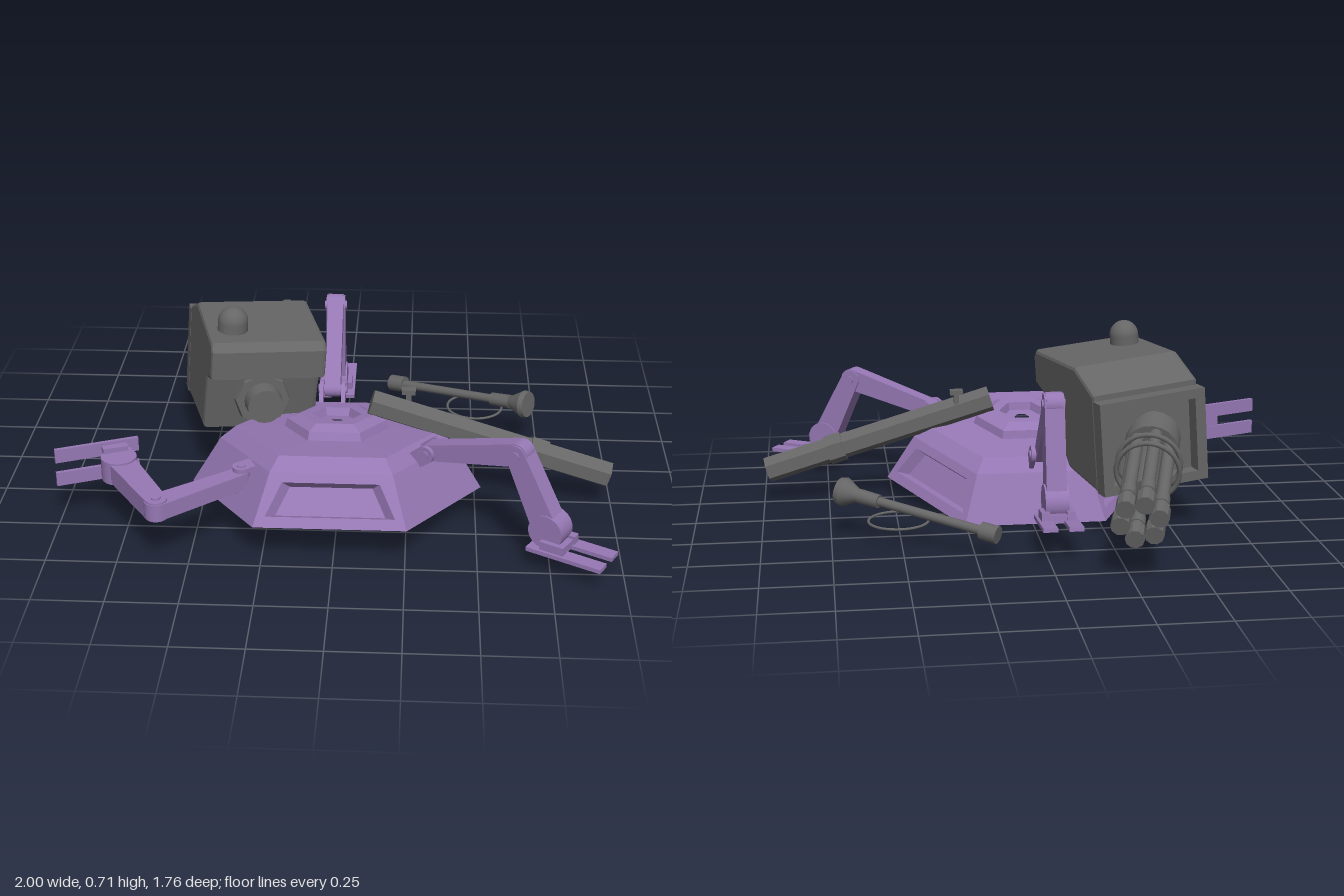
import * as THREE from 'three';

const purple = new THREE.MeshStandardMaterial({ color: 0x9678b4 });
const grey = new THREE.MeshStandardMaterial({ color: 0x666666 });
const purpleFlat = new THREE.MeshStandardMaterial({ color: 0x9678b4, flatShading: true });
const greyFlat = new THREE.MeshStandardMaterial({ color: 0x666666, flatShading: true });
const V = (x, y, z) => new THREE.Vector3(x, y, z);

function add(parent, name, geometry, material, x = 0, y = 0, z = 0) {
  const mesh = new THREE.Mesh(geometry, material);
  mesh.name = name;
  mesh.position.set(x, y, z);
  parent.add(mesh);
  return mesh;
}

function addGroup(parent, name) {
  const g = new THREE.Group();
  g.name = name;
  parent.add(g);
  return g;
}

// Group whose +y axis runs from a towards b
function axisGroup(parent, name, a, b) {
  const g = addGroup(parent, name);
  g.position.copy(a);
  g.quaternion.setFromUnitVectors(V(0, 1, 0), b.clone().sub(a).normalize());
  return g;
}

// Cylinder between two heights of an axis group
function span(parent, name, y0, y1, r0, r1, sides, material, x = 0, z = 0) {
  return add(parent, name, new THREE.CylinderGeometry(r1, r0, y1 - y0, sides), material, x, (y0 + y1) / 2, z);
}

// Hexagonal hull: skirt with three sunken panels, bevelled deck and open hub
function buildBase(root) {
  const base = addGroup(root, 'base');
  base.position.set(-0.01, 0.073, 0.285);
  base.rotation.x = -0.16;
  const lathe = pts => new THREE.LatheGeometry(pts.map(p => new THREE.Vector2(...p)), 6, Math.PI / 6);
  add(base, 'baseFloor', lathe([[0, 0], [0.53, 0]]), purpleFlat);
  add(base, 'deck', lathe([[0.425, 0.17], [0.37, 0.215], [0.19, 0.22], [0.18, 0.25], [0.135, 0.27],
    [0.09, 0.27], [0.08, 0.24], [0.03, 0.24]]), purpleFlat);

  const pos = [];
  const quad = (a, b, c, d) => [a, b, c, a, c, d].forEach(p => pos.push(p.x, p.y, p.z));
  for (let i = 0; i < 6; i++) {
    const corner = (k, r, y) => V(Math.sin(k) * r, y, Math.cos(k) * r);
    const k0 = (i - 0.5) * Math.PI / 3, k1 = k0 + Math.PI / 3;
    const outer = [corner(k0, 0.53, 0), corner(k1, 0.53, 0), corner(k1, 0.425, 0.17), corner(k0, 0.425, 0.17)];
    if (i % 2) { quad(...outer); continue; }
    const at = (u, v) => outer[0].clone().lerp(outer[1], u).lerp(outer[3].clone().lerp(outer[2], u), v);
    const inner = [at(0.06, 0.2), at(0.94, 0.2), at(0.88, 0.82), at(0.12, 0.82)];
    const n = outer[1].clone().sub(outer[0]).cross(outer[3].clone().sub(outer[0])).normalize();
    const mid = at(0.5, 0.5);
    const sunk = inner.map(p => p.clone().lerp(mid, 0.15).addScaledVector(n, -0.035));
    for (let j = 0; j < 4; j++) {
      const k = (j + 1) % 4;
      quad(outer[j], outer[k], inner[k], inner[j]);
      quad(inner[j], inner[k], sunk[k], sunk[j]);
    }
    quad(...sunk);
  }
  const g = new THREE.BufferGeometry();
  g.setAttribute('position', new THREE.Float32BufferAttribute(pos, 3));
  g.computeVertexNormals();
  add(base, 'skirt', g, purpleFlat);
}

// Round-ended plate joining two points in the arm plane
function link(parent, name, a, b, ra, rb, thick, offset = 0) {
  const t = Math.atan2(b[1] - a[1], b[0] - a[0]), h = Math.PI / 2;
  const s = new THREE.Shape();
  s.absarc(a[0], a[1], ra, t + h, t + 3 * h);
  s.absarc(b[0], b[1], rb, t - h, t + h);
  const g = new THREE.ExtrudeGeometry(s, { depth: thick, bevelEnabled: false, curveSegments: 10 });
  return add(parent, name, g, purple, 0, 0, offset - thick / 2);
}

// Jointed arm in the plane of axes s and t, starting from the shoulder
function buildArm(root, name, origin, s, t, elbow, wrist, palm, tip) {
  const arm = addGroup(root, name);
  arm.matrixAutoUpdate = true;
  arm.quaternion.setFromRotationMatrix(new THREE.Matrix4().makeBasis(s, t, s.clone().cross(t)));
  arm.position.copy(origin);
  const pin = (label, p, r, len) => {
    add(arm, label, new THREE.CylinderGeometry(r, r, len, 18), purple, p[0], p[1], 0).rotation.x = Math.PI / 2;
  };
  for (const side of [-1, 1]) link(arm, 'shoulderBracket', [-0.05, -0.04], [0, 0], 0.03, 0.032, 0.016, side * 0.042);
  link(arm, 'upperArm', [0, 0], elbow, 0.03, 0.042, 0.06);
  link(arm, 'forearm', elbow, wrist, 0.038, 0.05, 0.072);
  pin('shoulderPin', [0, 0], 0.016, 0.11);
  pin('elbowPin', elbow, 0.016, 0.085);
  pin('wristJoint', wrist, 0.064, 0.085);

  // Flat hand with two fingers
  const hand = addGroup(arm, 'hand');
  hand.position.set(palm[0], palm[1], 0);
  hand.rotation.z = Math.atan2(tip[1] - palm[1], tip[0] - palm[0]);
  const len = Math.hypot(tip[0] - palm[0], tip[1] - palm[1]);
  add(hand, 'palm', new THREE.BoxGeometry(0.1, 0.03, 0.08), purple, 0.08, 0.012, 0);
  for (const side of [-1, 1]) {
    add(hand, 'finger', new THREE.BoxGeometry(len, 0.015, 0.052), purple, len / 2, 0, side * 0.046);
    add(hand, 'knuckle', new THREE.BoxGeometry(0.09, 0.035, 0.03), purple, 0.09, 0.02, side * 0.046);
  }
}

// Leaning turret head with overhanging brow, lens, dome and rear frame
function buildHead(root) {
  const head = addGroup(root, 'head');
  head.position.set(-0.34, 0.4, -0.05);
  head.rotation.set(0, 0.26, -0.07, 'YXZ');
  const profile = [[0.305, 0.18], [0.28, 0.21], [-0.09, 0.215], [-0.25, 0.14], [-0.25, -0.225],
    [0.17, -0.18], [0.21, 0.04], [0.305, 0.075]].map(p => new THREE.Vector2(...p));
  const shell = new THREE.ExtrudeGeometry(new THREE.Shape(profile), {
    depth: 0.39, bevelSize: 0.014, bevelThickness: 0.015, bevelOffset: -0.014, bevelSegments: 2 });
  shell.translate(0, 0, -0.195).rotateY(-Math.PI / 2);
  add(head, 'headShell', shell, grey);

  const rect = (S, w, lo, hi) => {
    const s = new S();
    s.moveTo(-w, lo).lineTo?.(w, lo);
    return s;
  };
  const frame = new THREE.Shape([[-0.21, -0.225], [0.21, -0.225], [0.21, 0.12], [-0.21, 0.12]].map(p => new THREE.Vector2(...p)));
  frame.holes.push(new THREE.Path([[-0.17, -0.19], [-0.17, 0.085], [0.17, 0.085], [0.17, -0.19]].map(p => new THREE.Vector2(...p))));
  add(head, 'rearFrame', new THREE.ExtrudeGeometry(frame, { depth: 0.06, bevelEnabled: false }), grey, 0, 0, -0.305);

  const lens = addGroup(head, 'lens');
  lens.position.set(0, -0.05, 0.12);
  lens.rotation.x = Math.PI / 2;
  span(lens, 'lensHousing', 0, 0.1, 0.12, 0.1, 8, greyFlat);
  span(lens, 'lensBarrel', 0.08, 0.16, 0.07, 0.065, 20, grey);

  const dome = addGroup(head, 'dome');
  dome.position.set(-0.115, 0.2, 0.165);
  span(dome, 'domeBase', 0, 0.045, 0.055, 0.055, 24, grey);
  add(dome, 'domeCap', new THREE.SphereGeometry(0.055, 24, 10, 0, Math.PI * 2, 0, Math.PI / 2), grey, 0, 0.045, 0);
}

// Rotary gun: six barrels around a core, two clamp rings
function buildRotaryGun(root) {
  const gun = axisGroup(root, 'rotaryGun', V(-0.425, 0.35, -0.29), V(-0.27, 0.215, -0.85));
  span(gun, 'core', 0, 0.4, 0.045, 0.045, 16, grey);
  span(gun, 'gunMount', -0.02, 0.1, 0.1, 0.1, 20, grey);
  for (let i = 0; i < 6; i++) {
    const a = i * Math.PI / 3, x = Math.cos(a) * 0.068, z = Math.sin(a) * 0.068;
    span(gun, 'barrel', 0.03, 0.58, 0.024, 0.024, 14, grey, x, z);
    span(gun, 'barrelStep', 0.47, 0.52, 0.028, 0.028, 14, grey, x, z);
    span(gun, 'muzzle', 0.545, 0.61, 0.034, 0.034, 10, greyFlat, x, z);
  }
  for (const y of [0.19, 0.255]) {
    add(gun, 'clampRing', new THREE.TorusGeometry(0.112, 0.009, 8, 32), grey, 0, y, 0).rotation.x = Math.PI / 2;
  }
}

// Long hexagonal gun with collar and sight
function buildLongGun(root) {
  const gun = axisGroup(root, 'longGun', V(0.115, 0.39, 0.24), V(0.985, 0.125, 0.26));
  span(gun, 'hexBarrel', 0, 0.91, 0.05, 0.05, 6, greyFlat).rotation.y = Math.PI / 6;
  span(gun, 'collar', 0.6, 0.665, 0.058, 0.058, 6, greyFlat).rotation.y = Math.PI / 6;
  const sight = addGroup(root, 'sight');
  sight.position.set(0.25, 0.4, 0.215);
  add(sight, 'sightPost', new THREE.BoxGeometry(0.02, 0.06, 0.02), grey);
  add(sight, 'sightTop', new THREE.BoxGeometry(0.05, 0.018, 0.035), grey, 0, 0.025, 0);
}

// Flared staff with a loose flat ring
function buildStaff(root) {
  const staff = axisGroup(root, 'staff', V(0.175, 0.088, -0.555), V(0.715, 0.17, -0.21));
  span(staff, 'knob', 0, 0.065, 0.032, 0.032, 14, grey);
  span(staff, 'rod', 0.05, 0.55, 0.017, 0.017, 14, grey);
  span(staff, 'grip', 0.48, 0.565, 0.025, 0.027, 14, grey);
  span(staff, 'bell', 0.56, 0.625, 0.02, 0.054, 18, grey);
  span(staff, 'bellRim', 0.625, 0.645, 0.054, 0.05, 18, grey);
  add(root, 'looseRing', new THREE.TorusGeometry(0.108, 0.005, 8, 40), grey, 0.51, 0.09, -0.345).rotation.x = Math.PI / 2;
}

export function createModel() {
  const root = new THREE.Group();
  root.name = 'brokenMachine';
  buildBase(root);
  buildHead(root);
  buildRotaryGun(root);
  buildLongGun(root);
  buildStaff(root);
  const up = V(0, 1, 0);
  buildArm(root, 'rearArm', V(-0.045, 0.26, -0.13), V(0, 0, -1), up, [0.24, 0.25], [0.3, -0.095], [0.26, -0.16], [0.51, -0.135]);
  buildArm(root, 'leftArm', V(0.335, 0.31, 0.45), V(0.866, 0, 0.5), up, [0.345, 0.09], [0.475, -0.165], [0.42, -0.23], [0.7, -0.23]);
  buildArm(root, 'rightArm', V(-0.33, 0.225, 0.535), V(-1, 0, 0), V(0, 0, 1), [0.27, 0.22], [0.445, -0.065], [0.39, -0.16], [0.67, -0.045]);
  return root;
}
